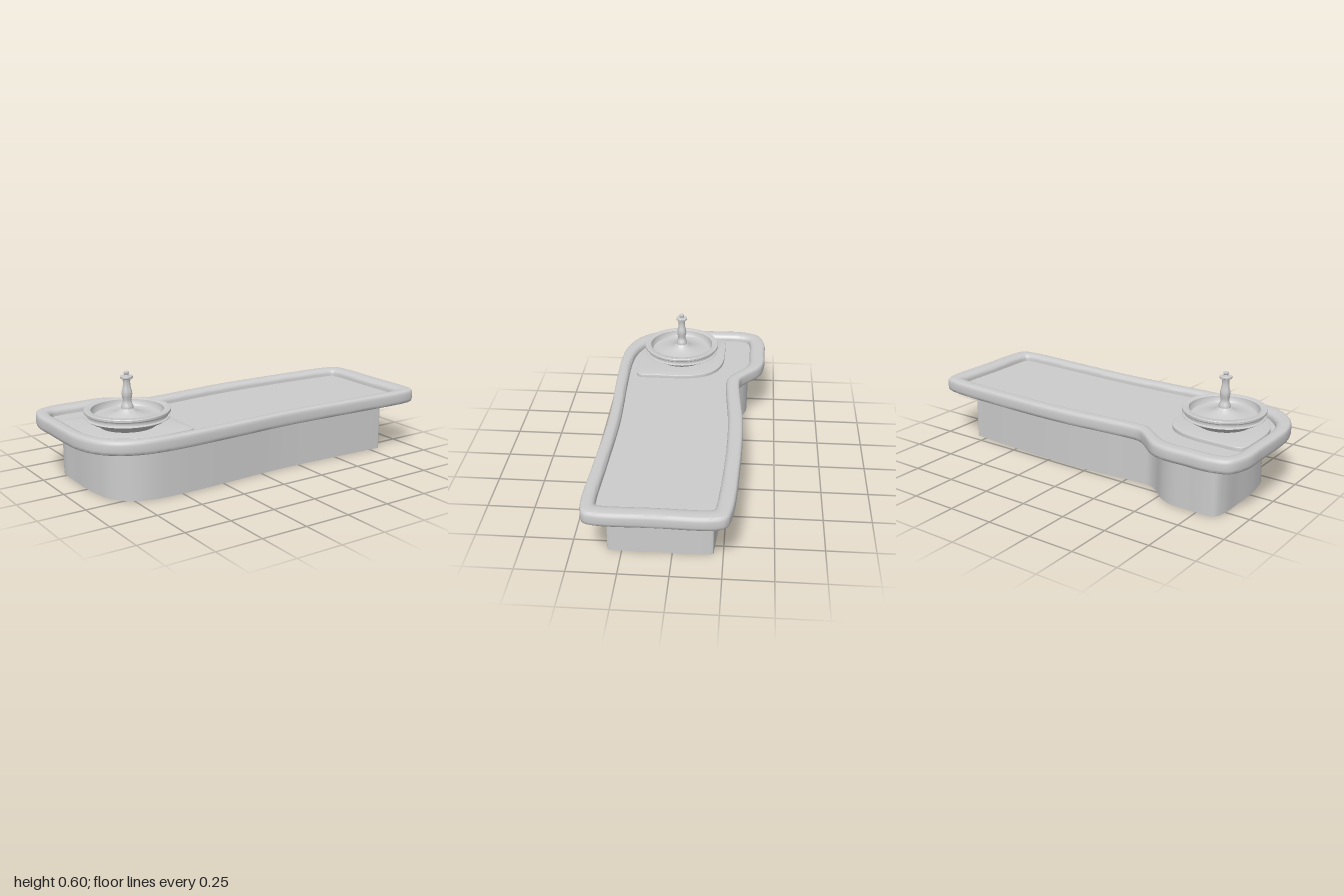
import * as THREE from 'three';
import { toCreasedNormals } from 'three/addons/utils/BufferGeometryUtils.js';

const material = new THREE.MeshStandardMaterial({ color: 0xcccccc, side: THREE.DoubleSide });

// Plan outlines as x, z pairs, running left edge, back, right edge, front.
const RIM_OUTER = [-1, .02, -1, -.14, -.998, -.29, -.955, -.39, -.85, -.429, -.72, -.43, -.61, -.429,
  -.53, -.407, -.43, -.327, -.385, -.298, -.33, -.29, .11, -.32, .54, -.315, .91, -.29,
  .975, -.265, .998, -.2, .998, .07, .998, .35, .98, .405, .92, .425, .56, .417,
  .12, .402, -.32, .42, -.62, .423, -.77, .4, -.88, .345, -.955, .255, -.992, .14];
const RIM_INNER = [-.928, .02, -.928, -.14, -.925, -.28, -.9, -.327, -.85, -.34, -.72, -.34, -.61, -.34,
  -.54, -.32, -.44, -.25, -.39, -.218, -.34, -.212, .11, -.24, .54, -.235, .88, -.21,
  .9, -.203, .908, -.18, .908, .07, .908, .33, .9, .35, .87, .357, .56, .35,
  .12, .34, -.32, .355, -.57, .358, -.7, .342, -.8, .3, -.885, .215, -.92, .12];
const WALL = [-.87, 0, -.87, -.14, -.868, -.26, -.845, -.32, -.79, -.333, -.7, -.333, -.6, -.33,
  -.53, -.303, -.44, -.228, -.39, -.203, -.34, -.202, .11, -.235, .5, -.225, .79, -.203,
  .815, -.2, .82, -.18, .82, .07, .82, .3, .815, .32, .79, .322, .5, .31,
  .12, .3, -.32, .32, -.55, .322, -.68, .308, -.77, .265, -.835, .185, -.86, .09];

// Smooth closed outline; matching control points give matching samples.
function outline(flat, perSegment = 8) {
  const points = [];
  for (let i = 0; i < flat.length; i += 2) points.push(new THREE.Vector3(flat[i], 0, flat[i + 1]));
  const curve = new THREE.CatmullRomCurve3(points, true, 'centripetal');
  const n = points.length * perSegment;
  return Array.from({ length: n }, (_, i) => curve.getPoint(i / n));
}

// Skin between two outlines: each profile entry is [blend from a to b, height].
function skin(a, b, profile) {
  const positions = [], index = [], n = a.length;
  for (const [t, y] of profile) {
    a.forEach((p, i) => {
      const q = p.clone().lerp(b[i], t);
      positions.push(q.x, y, q.z);
    });
  }
  for (let j = 0; j < profile.length - 1; j++) {
    for (let i = 0; i < n; i++) {
      const k = (i + 1) % n, lo = j * n, hi = lo + n;
      index.push(lo + i, hi + i, lo + k, lo + k, hi + i, hi + k);
    }
  }
  const geometry = new THREE.BufferGeometry();
  geometry.setAttribute('position', new THREE.Float32BufferAttribute(positions, 3));
  geometry.setIndex(index);
  geometry.computeVertexNormals();
  return toCreasedNormals(geometry, 0.8);
}

// Smooth lathe through a list of [radius, height], sharp at tight corners.
function turned(profile, segments = 64) {
  const points = profile.map(([r, y]) => new THREE.Vector2(r, y));
  return toCreasedNormals(new THREE.LatheGeometry(points, segments), 0.6);
}

export function createModel() {
  const model = new THREE.Group();
  const add = (name, geometry, parent = model) => {
    const mesh = new THREE.Mesh(geometry, material);
    mesh.name = name;
    parent.add(mesh);
  };

  const outer = outline(RIM_OUTER), inner = outline(RIM_INNER), wall = outline(WALL);

  // Open-bottomed skirt wall
  add('baseWall', skin(wall, wall, [[0, 0], [0, .26]]));

  // Rounded rim, hollow underneath, with an inner lip
  add('rim', skin(outer, inner, [
    [.2, .272], [.1, .273], [.03, .279], [0, .292], [0, .323], [.03, .335], [.1, .342], [.2, .344],
    [.55, .344], [.75, .342], [.88, .337], [.96, .33], [1, .32], [1, .276],
  ]));

  // Flat panel enclosed by the rim
  const panelShape = new THREE.Shape(inner.map((p) => new THREE.Vector2(p.x, p.z)));
  const panel = new THREE.ShapeGeometry(panelShape);
  panel.rotateX(Math.PI / 2);
  panel.translate(0, .306, 0);
  add('panel', panel);

  // Leaf-shaped plinth set through the panel: two tight corners, two sweeping ones
  const x0 = -.918, x1 = -.413, z0 = -.19, z1 = .318;
  const leaf = new THREE.Shape();
  leaf.moveTo(x0, z0 + .06);
  leaf.quadraticCurveTo(x0, z0, x0 + .06, z0);
  leaf.lineTo(x0 + .22, z0);
  leaf.bezierCurveTo(x0 + .42, z0, x1, z0 + .08, x1, z0 + .28);
  leaf.lineTo(x1, z1 - .045);
  leaf.quadraticCurveTo(x1, z1, x1 - .045, z1);
  leaf.lineTo(x1 - .19, z1);
  leaf.bezierCurveTo(x1 - .38, z1, x0, z1 - .12, x0, z1 - .31);
  leaf.closePath();
  const plinth = new THREE.ExtrudeGeometry(leaf, {
    depth: .034, bevelThickness: .003, bevelSize: .003, bevelOffset: -.003, bevelSegments: 3, curveSegments: 24,
  });
  plinth.rotateX(Math.PI / 2);
  plinth.translate(0, .323, 0);
  add('plinth', toCreasedNormals(plinth, 0.6));

  // Fountain: grooved bowl with a turned spindle
  const fountain = new THREE.Group();
  fountain.name = 'fountain';
  fountain.position.set(-.665, 0, .069);
  model.add(fountain);

  add('bowl', turned([
    [0, .324], [.14, .324], [.15, .333], [.17, .345], [.19, .355], [.208, .366], [.214, .37], [.213, .373],
    [.204, .376], [.202, .384], [.204, .392], [.207, .396], [.216, .396], [.2185, .399], [.2185, .409],
    [.216, .412], [.188, .412], [.183, .409], [.181, .39], [.172, .376], [.15, .373], [.12, .376],
    [.09, .383], [.065, .391], [.045, .402], [.034, .414], [0, .414],
  ]), fountain);

  add('spindle', turned([
    [.031, .405], [.032, .418], [.03, .428], [.025, .438], [.022, .448], [.022, .458], [.025, .472],
    [.027, .486], [.026, .5], [.022, .515], [.019, .53], [.018, .545], [.019, .558], [.021, .567],
    [.03, .567], [.032, .569], [.032, .578], [.03, .58], [.012, .58], [.01, .586], [.013, .59],
    [.014, .594], [.013, .6], [.01, .602], [0, .602],
  ], 32), fountain);

  return model;
}
